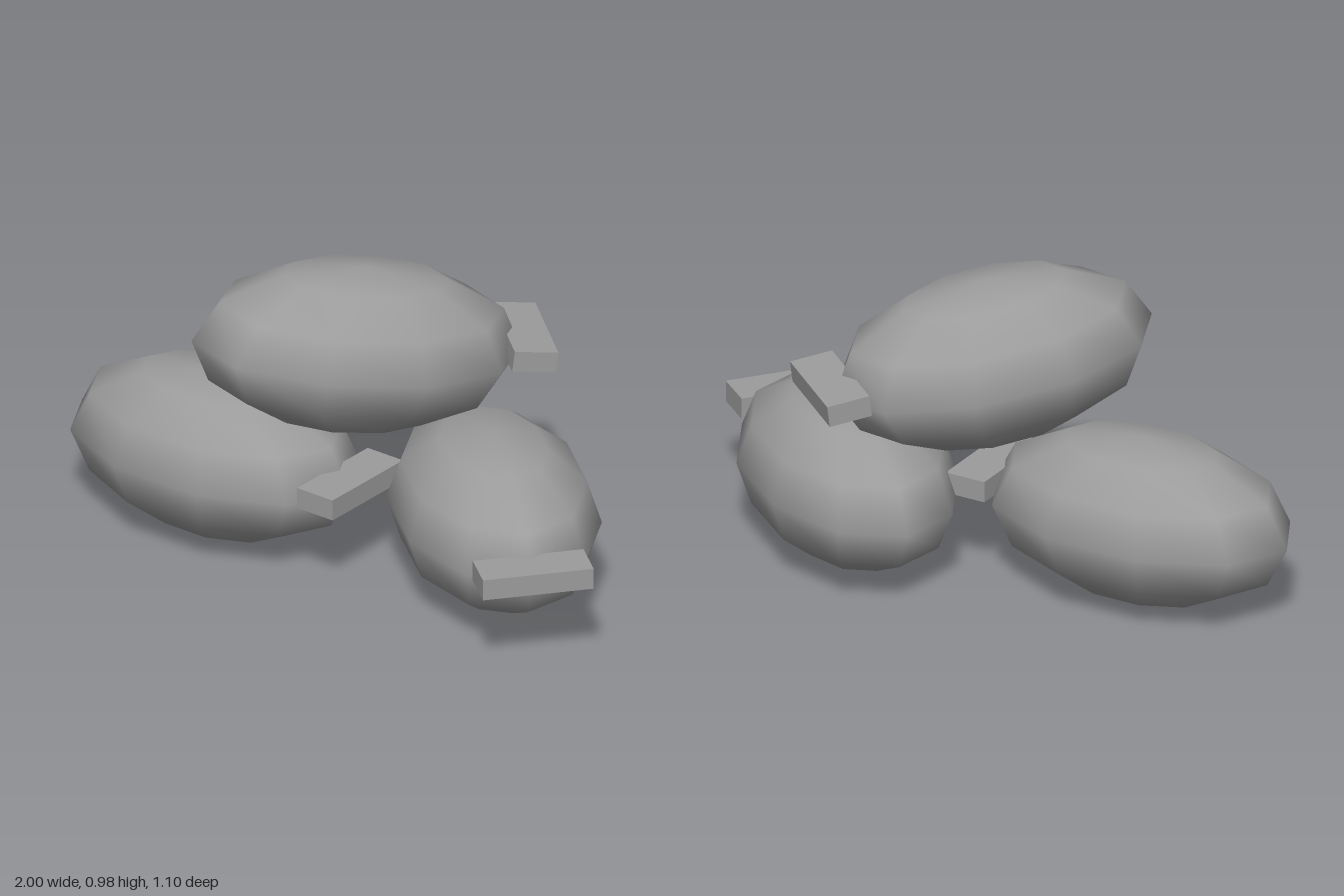
import * as THREE from 'three';

const LENGTH = 0.517, HEIGHT = 0.263, WIDTH = 0.316; // sack radii

export function createModel() {
  const model = new THREE.Group();
  model.name = 'sackPile';
  const cloth = new THREE.MeshStandardMaterial({ color: 0x9c9c9c });
  cloth.name = 'greyCloth';

  // smooth low-poly body shared by all sacks
  const bodyGeometry = new THREE.SphereGeometry(1, 10, 6).scale(LENGTH, HEIGHT, WIDTH);
  // flat tied neck across the +x end
  const neckGeometry = new THREE.BoxGeometry(0.137, 0.068, 0.347);

  function addSack(name, x, y, z, yaw, tilt) {
    const sack = new THREE.Group();
    sack.name = name;
    const body = new THREE.Mesh(bodyGeometry, cloth);
    body.name = 'sackBody';
    const neck = new THREE.Mesh(neckGeometry, cloth);
    neck.name = 'sackNeck';
    neck.position.set(0.522, 0.033, 0);
    sack.add(body, neck);
    sack.position.set(x, y, z);
    sack.rotation.set(0, THREE.MathUtils.degToRad(yaw), THREE.MathUtils.degToRad(tilt));
    model.add(sack);
  }

  // two sacks on the ground, one leaning across the top
  addSack('rightSack', -0.49, HEIGHT, 0.222, 10, 0);
  addSack('leftSack', 0.395, HEIGHT, -0.125, -28.5, 0);
  addSack('topSack', -0.043, 0.721, 0.047, 60, -7);

  return model;
}
